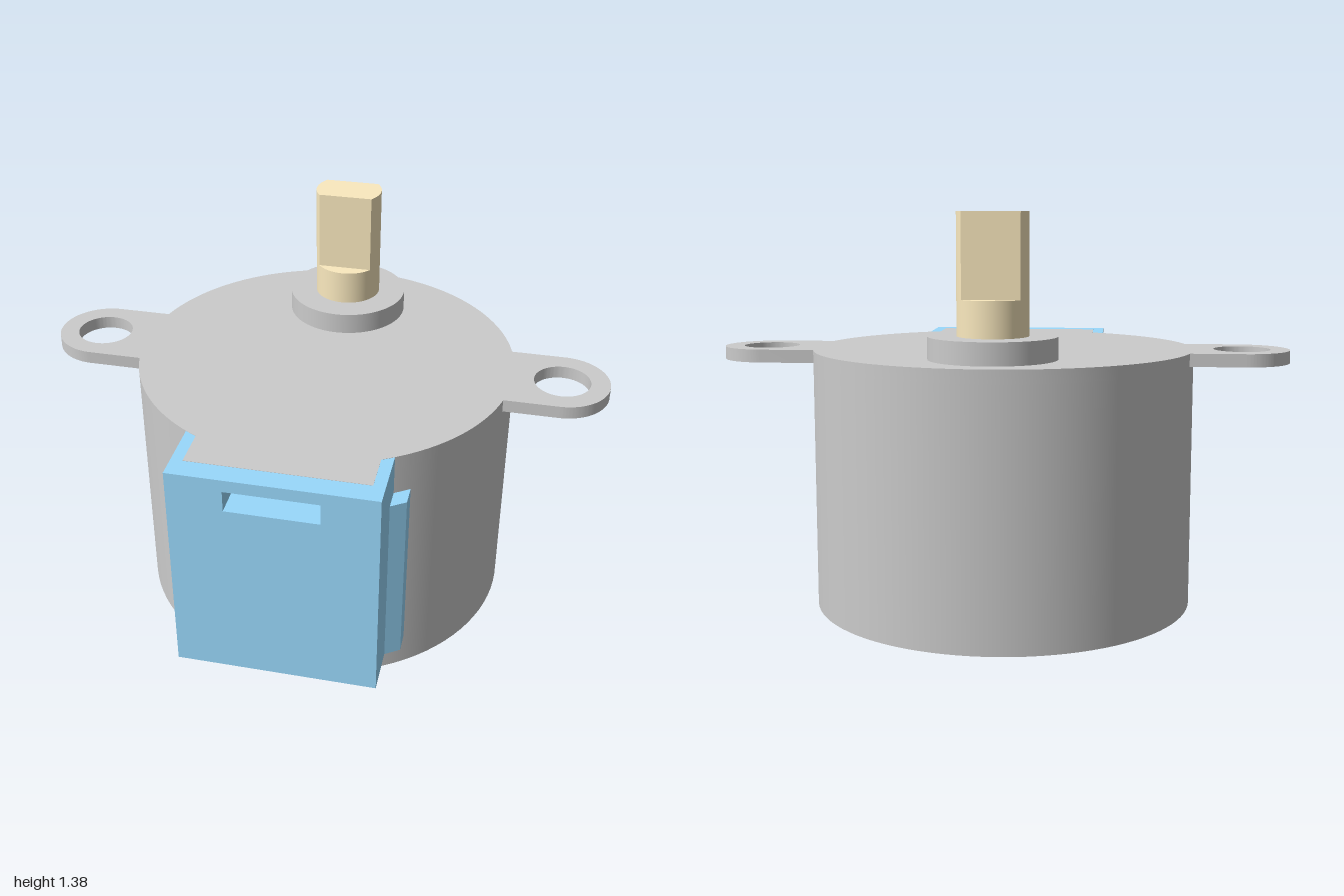
import * as THREE from 'three';
import { toCreasedNormals } from 'three/addons/utils/BufferGeometryUtils.js';

const grey = new THREE.MeshStandardMaterial({ color: 0xcccccc });
const blue = new THREE.MeshStandardMaterial({ color: 0x99d9fd });
const brass = new THREE.MeshStandardMaterial({ color: 0xfbeabf });

const R = 0.667, CZ = -0.073;      // can radius and axis
const SHAFT_Z = -0.452;            // offset output axis
const TOP = 0.905, PLATE = 0.045;  // lid height and thickness

function createModel() {
  const group = new THREE.Group();

  const add = (name, geometry, material) => {
    const mesh = new THREE.Mesh(geometry, material);
    mesh.name = name;
    group.add(mesh);
    return mesh;
  };
  const poly = (pts) => new THREE.Shape(pts.map(([x, y]) => new THREE.Vector2(x, y)));
  const extrude = (shape, depth) =>
    new THREE.ExtrudeGeometry(shape, { depth, bevelEnabled: false, curveSegments: 48 });
  // Plan shape (x, z) extruded between two heights
  const plan = (shape, bottom, top) =>
    toCreasedNormals(extrude(shape, top - bottom).rotateX(Math.PI / 2).translate(0, top, 0), 0.5);
  const cylinder = (r, bottom, top, z) =>
    new THREE.CylinderGeometry(r, r, top - bottom, 96).translate(0, (bottom + top) / 2, z);

  // Motor can
  add('can', cylinder(R, 0, TOP - PLATE, CZ), grey);

  // Lid: disc outline with two mounting ears and a front tongue
  const earR = 0.165, earX = 0.835, tongueX = 0.305, tongueZ = 0.66;
  const a = Math.asin(earR / R), b = Math.acos(tongueX / R);
  const lid = new THREE.Shape();
  lid.absarc(earX, CZ, earR, -Math.PI / 2, Math.PI / 2, false);
  lid.absarc(0, CZ, R, a, b, false);
  lid.lineTo(tongueX, tongueZ);
  lid.lineTo(-tongueX, tongueZ);
  lid.absarc(0, CZ, R, Math.PI - b, Math.PI - a, false);
  lid.absarc(-earX, CZ, earR, Math.PI / 2, Math.PI * 1.5, false);
  lid.absarc(0, CZ, R, Math.PI + a, Math.PI * 2 - a, false);
  lid.closePath();
  for (const s of [-1, 1]) {
    lid.holes.push(new THREE.Path().absarc(s * earX, CZ, 0.098, 0, Math.PI * 2, true));
  }
  add('mountingLid', plan(lid, TOP - PLATE, TOP), grey);

  // Boss around the shaft
  add('shaftBoss', cylinder(0.213, TOP, 0.98, SHAFT_Z), grey);

  // Shaft: round collar, then two flats
  const shaftR = 0.118, f = Math.asin(0.07 / shaftR);
  add('shaftCollar', cylinder(shaftR, 0.98, 1.1, SHAFT_Z), brass);
  const flats = new THREE.Shape();
  flats.absarc(0, SHAFT_Z, shaftR, -f, f, false);
  flats.absarc(0, SHAFT_Z, shaftR, Math.PI - f, Math.PI + f, false);
  flats.closePath();
  add('shaftFlats', plan(flats, 1.1, 1.38), brass);

  // Cable housing: front wall with a slot, open channel behind it under the lid tongue
  const w = 0.345, y0 = 0.12, y1 = TOP - 0.001, slotX = 0.157, slotY = 0.785, lidY = TOP - PLATE;
  const wall = poly([[-w, y0], [w, y0], [w, y1], [-w, y1]]);
  wall.holes.push(poly([[-slotX, slotY], [-slotX, lidY], [slotX, lidY], [slotX, slotY]]));
  add('housingFront', extrude(wall, 0.735 - tongueZ).translate(0, 0, tongueZ), blue);

  const rear = poly([
    [-w, y0], [w, y0], [w, y1], [tongueX, y1], [tongueX, lidY], [slotX, lidY], [slotX, slotY],
    [-slotX, slotY], [-slotX, lidY], [-tongueX, lidY], [-tongueX, y1], [-w, y1],
  ]);
  add('housingRear', extrude(rear, tongueZ - 0.49).translate(0, 0, 0.49), blue);

  // Side ribs of the housing
  for (const s of [-1, 1]) {
    const rib = poly([[w, 0.44], [0.395, 0.44], [0.395, 0.537], [w, 0.57]].map(([x, z]) => [s * x, z]));
    add(s > 0 ? 'leftRib' : 'rightRib', plan(rib, y0, 0.763), blue);
  }

  return group;
}

export { createModel };
